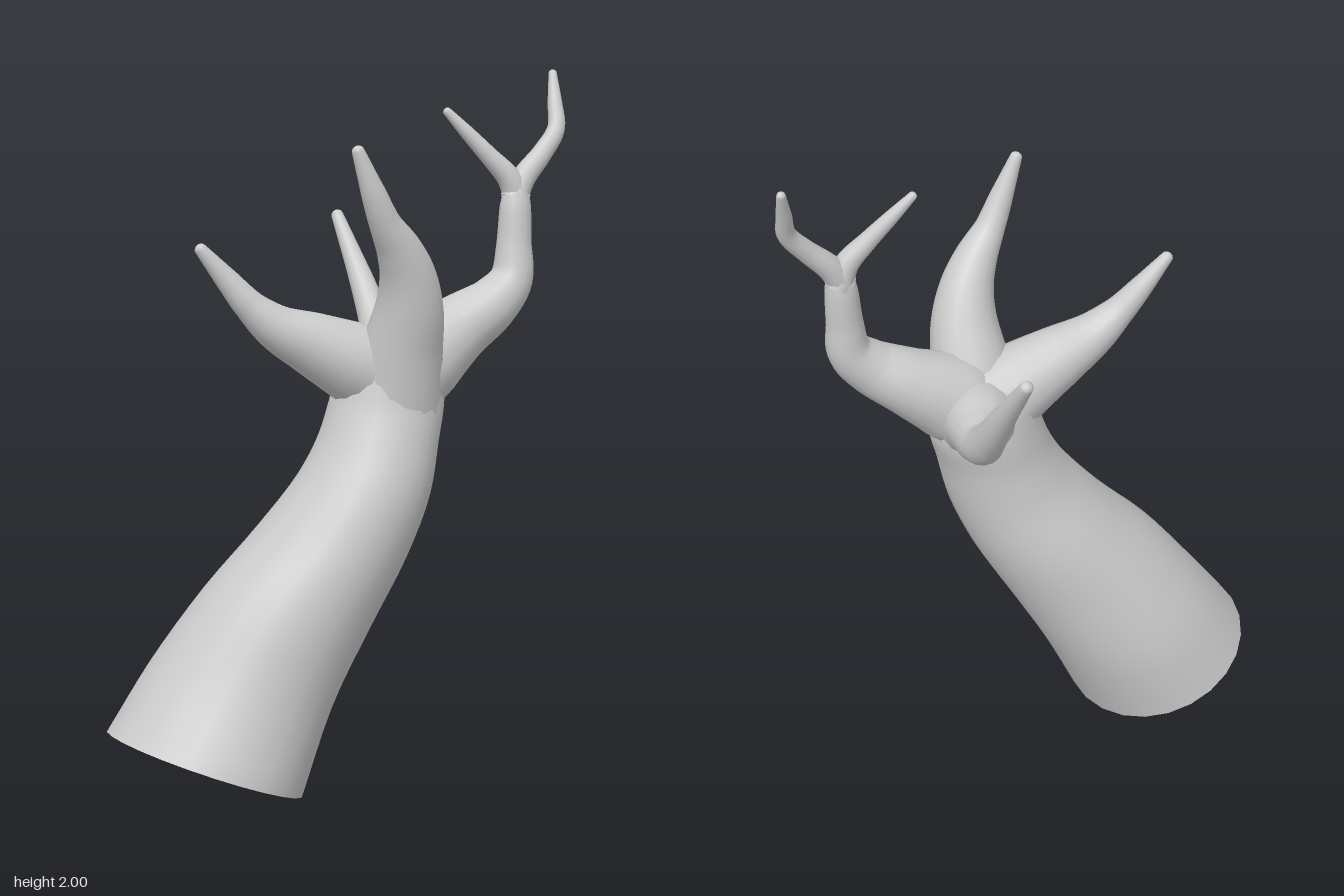
import * as THREE from 'three';

const material = new THREE.MeshStandardMaterial({ color: 0xcccccc, side: THREE.DoubleSide });

// Smooth skin over a list of rings, each an array of Vector3 of equal length
function skin(name, rings) {
  const sides = rings[0].length, positions = [], index = [];
  rings.forEach(ring => ring.forEach(p => positions.push(p.x, p.y, p.z)));
  for (let i = 0; i < rings.length - 1; i++) {
    for (let j = 0; j < sides; j++) {
      const k = (j + 1) % sides;
      const a = i * sides + j, b = i * sides + k, c = b + sides, d = a + sides;
      index.push(a, b, c, a, c, d);
    }
  }
  const geometry = new THREE.BufferGeometry();
  geometry.setAttribute('position', new THREE.Float32BufferAttribute(positions, 3));
  geometry.setIndex(index);
  geometry.computeVertexNormals();
  const mesh = new THREE.Mesh(geometry, material);
  mesh.name = name;
  return mesh;
}

// Ring around a centre spanned by two half axes
function ellipse(centre, u, v, sides) {
  return Array.from({ length: sides }, (_, j) => {
    const a = (j / sides) * Math.PI * 2;
    return centre.clone().addScaledVector(u, Math.cos(a)).addScaledVector(v, Math.sin(a));
  });
}

// Tapering limb through [x, y, z, radius] points, with a rounded tip
function limb(name, points, sides = 16) {
  const curve = new THREE.CatmullRomCurve3(points.map(p => new THREE.Vector3(p[0], p[1], p[2])), false, 'centripetal');
  const steps = points.length * 6, last = points.length - 1;
  const { tangents, normals, binormals } = curve.computeFrenetFrames(steps);
  const rings = [];
  const addRing = (centre, i, r) => rings.push(ellipse(centre,
    normals[i].clone().multiplyScalar(r), binormals[i].clone().multiplyScalar(r), sides));
  for (let i = 0; i <= steps; i++) {
    const t = curve.getUtoTmapping(i / steps) * last;
    const k = Math.min(Math.floor(t), last - 1);
    addRing(curve.getPointAt(i / steps), i, THREE.MathUtils.lerp(points[k][3], points[k + 1][3], t - k));
  }
  const r = points[last][3], end = curve.getPointAt(1);
  for (const a of [0.5, 1, 1.35, 1.57]) {
    addRing(end.clone().addScaledVector(tangents[steps], r * Math.sin(a) * 0.8), steps, r * Math.cos(a));
  }
  return skin(name, rings);
}

// Leaning trunk, open at the foot: left x, left y, right x, right y, back z, front z
function trunk() {
  const sections = [
    [-0.70, 0.22, -0.18, 0.00, -0.25, 0.34],
    [-0.57, 0.40, -0.07, 0.24, -0.215, 0.315],
    [-0.42, 0.60, 0.04, 0.46, -0.15, 0.33],
    [-0.27, 0.76, 0.14, 0.66, -0.09, 0.35],
    [-0.16, 0.90, 0.205, 0.84, -0.03, 0.355],
    [-0.10, 1.00, 0.24, 0.99, -0.005, 0.335],
    [-0.06, 1.10, 0.27, 1.10, 0.00, 0.315],
    [-0.03, 1.19, 0.26, 1.19, 0.01, 0.305],
    [0.02, 1.25, 0.23, 1.25, 0.05, 0.28],
    [0.12, 1.28, 0.13, 1.28, 0.16, 0.17],
  ];
  const path = (a, b, c) => new THREE.CatmullRomCurve3(sections.map(s =>
    new THREE.Vector3(s[a], s[b], c === undefined ? 0 : s[c])));
  const left = path(0, 1), right = path(2, 3), depth = path(4, 5);
  const rings = [], steps = 36;
  for (let i = 0; i <= steps; i++) {
    const l = left.getPoint(i / steps), r = right.getPoint(i / steps), d = depth.getPoint(i / steps);
    const centre = l.clone().add(r).multiplyScalar(0.5);
    centre.z = (d.x + d.y) / 2;
    rings.push(ellipse(centre, r.sub(l).multiplyScalar(0.5), new THREE.Vector3(0, 0, (d.x - d.y) / 2), 24));
  }
  return skin('trunk', rings);
}

export function createModel() {
  const group = new THREE.Group();
  group.name = 'branchingTrunk';
  group.add(trunk());

  // Forked branch on the left side
  const forked = new THREE.Group();
  forked.name = 'forkedBranch';
  forked.add(
    limb('forkedStem', [
      [0.10, 1.12, 0.17, 0.13], [0.21, 1.21, 0.185, 0.125], [0.32, 1.285, 0.205, 0.097],
      [0.42, 1.355, 0.24, 0.076], [0.475, 1.42, 0.25, 0.062], [0.488, 1.52, 0.245, 0.05],
      [0.495, 1.62, 0.24, 0.045], [0.50, 1.67, 0.237, 0.036]]),
    limb('innerTwig', [
      [0.505, 1.64, 0.237, 0.04], [0.48, 1.70, 0.23, 0.034], [0.425, 1.765, 0.205, 0.026],
      [0.37, 1.83, 0.175, 0.02], [0.318, 1.89, 0.148, 0.012]], 12),
    limb('outerTwig', [
      [0.49, 1.64, 0.237, 0.04], [0.525, 1.70, 0.237, 0.035], [0.59, 1.77, 0.243, 0.029],
      [0.642, 1.835, 0.24, 0.026], [0.662, 1.91, 0.21, 0.021], [0.683, 1.99, 0.175, 0.012]], 12));
  group.add(forked);

  // Upright front branch
  group.add(limb('frontBranch', [
    [0.11, 1.10, 0.19, 0.13], [0.105, 1.24, 0.225, 0.115], [0.095, 1.37, 0.27, 0.095],
    [0.07, 1.46, 0.292, 0.078], [0.03, 1.535, 0.305, 0.062], [-0.025, 1.61, 0.315, 0.043],
    [-0.065, 1.69, 0.318, 0.034], [-0.113, 1.805, 0.312, 0.017]]));

  // Side branch on the right
  group.add(limb('sideBranch', [
    [0.10, 1.16, 0.15, 0.13], [-0.01, 1.215, 0.13, 0.112], [-0.11, 1.265, 0.105, 0.09],
    [-0.21, 1.315, 0.08, 0.065], [-0.285, 1.38, 0.055, 0.044], [-0.34, 1.45, 0.03, 0.033],
    [-0.41, 1.538, 0.004, 0.017]]));

  // Back branch
  group.add(limb('backBranch', [
    [0.14, 1.14, 0.15, 0.13], [0.185, 1.18, 0.065, 0.105], [0.235, 1.20, -0.02, 0.077],
    [0.27, 1.225, -0.09, 0.058], [0.288, 1.285, -0.15, 0.046], [0.298, 1.38, -0.22, 0.037],
    [0.306, 1.565, -0.355, 0.018]]));

  return group;
}
